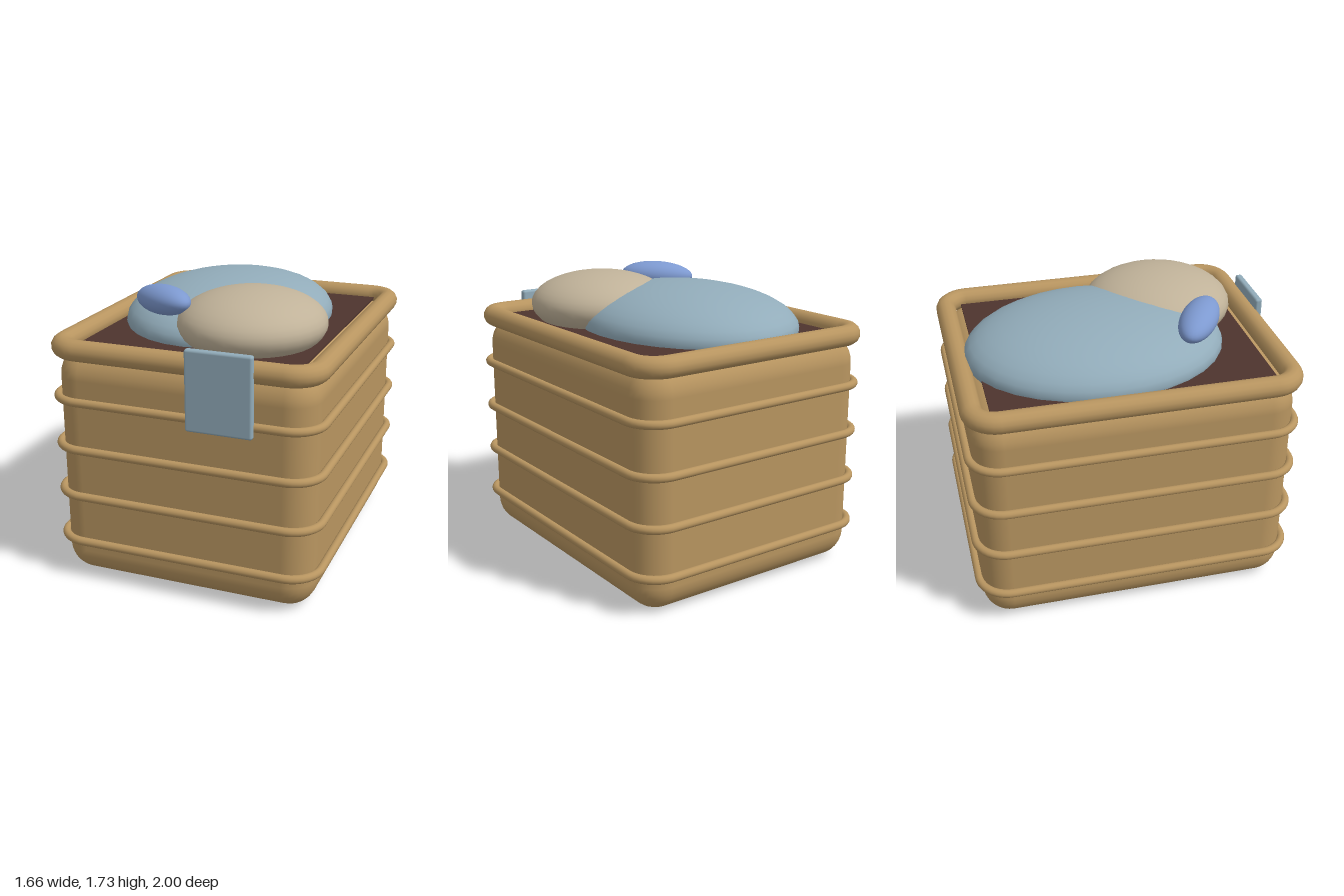
import * as THREE from 'three';
import { RoundedBoxGeometry } from 'three/addons/geometries/RoundedBoxGeometry.js';

const material = (name, color) => {
  const m = new THREE.MeshStandardMaterial({ color });
  m.name = name;
  return m;
};

// Rounded rectangle lying flat, as a closed path
class RoundedLoop extends THREE.Curve {
  constructor(hx, hz, r) {
    super();
    const s = new THREE.Shape();
    const x = hx - r, z = hz - r;
    s.moveTo(hx, -z);
    s.lineTo(hx, z);
    s.absarc(x, z, r, 0, Math.PI / 2);
    s.lineTo(-x, hz);
    s.absarc(-x, z, r, Math.PI / 2, Math.PI);
    s.lineTo(-hx, -z);
    s.absarc(-x, -z, r, Math.PI, Math.PI * 1.5);
    s.lineTo(x, -hz);
    s.absarc(x, -z, r, Math.PI * 1.5, Math.PI * 2);
    this.outline = s;
  }
  getPoint(t, target = new THREE.Vector3()) {
    const p = this.outline.getPoint(t);
    return target.set(p.x, 0, p.y);
  }
}

export function createModel() {
  const group = new THREE.Group();
  const wicker = material('wicker', 0xb89560);
  const lining = material('dark lining', 0x4e342e);
  const greyBlue = material('grey blue cloth', 0x92acba);
  const beige = material('beige cloth', 0xc0b299);
  const blue = material('blue cloth', 0x7d99d0);
  const zMid = -0.012;

  const add = (name, geometry, mat, x, y, z) => {
    const mesh = new THREE.Mesh(geometry, mat);
    mesh.name = name;
    mesh.position.set(x, y, z);
    group.add(mesh);
    return mesh;
  };
  const hoop = (name, y, hx, hz, corner, radius) =>
    add(name, new THREE.TubeGeometry(new RoundedLoop(hx, hz, corner), 200, radius, 14, true), wicker, 0, y, zMid);
  const clothes = (name, mat, x, y, z, rx, ry, rz) => {
    const mesh = add(name, new THREE.SphereGeometry(1, 32, 20), mat, x, y, z);
    mesh.scale.set(rx, ry, rz);
    return mesh;
  };

  // Basket body with rim and four raised bands
  add('basketBody', new RoundedBoxGeometry(1.57, 1.42, 1.89, 4, 0.17), wicker, 0, 0.71, zMid);
  hoop('rim', 1.425, 0.767, 0.925, 0.14, 0.0625);
  for (let i = 0; i < 4; i++) hoop('band' + (i + 1), 0.24 + i * 0.295, 0.805, 0.962, 0.18, 0.025);

  // Dark opening
  add('opening', new THREE.BoxGeometry(1.335, 0.012, 1.65), lining, 0, 1.425, zMid);

  // Laundry heap
  clothes('largeCloth', greyBlue, -0.08, 1.45, -0.125, 0.625, 0.24, 0.78);
  clothes('beigeCloth', beige, 0.23, 1.53, 0.345, 0.44, 0.2, 0.457);
  const sock = clothes('sock', blue, -0.28, 1.643, 0.46, 0.235, 0.087, 0.11);
  sock.rotation.set(0, -0.56, 0.07);

  // Tag hanging on the front
  add('tag', new RoundedBoxGeometry(0.39, 0.47, 0.045, 2, 0.015), greyBlue, 0.27, 1.3, 0.977);

  return group;
}
